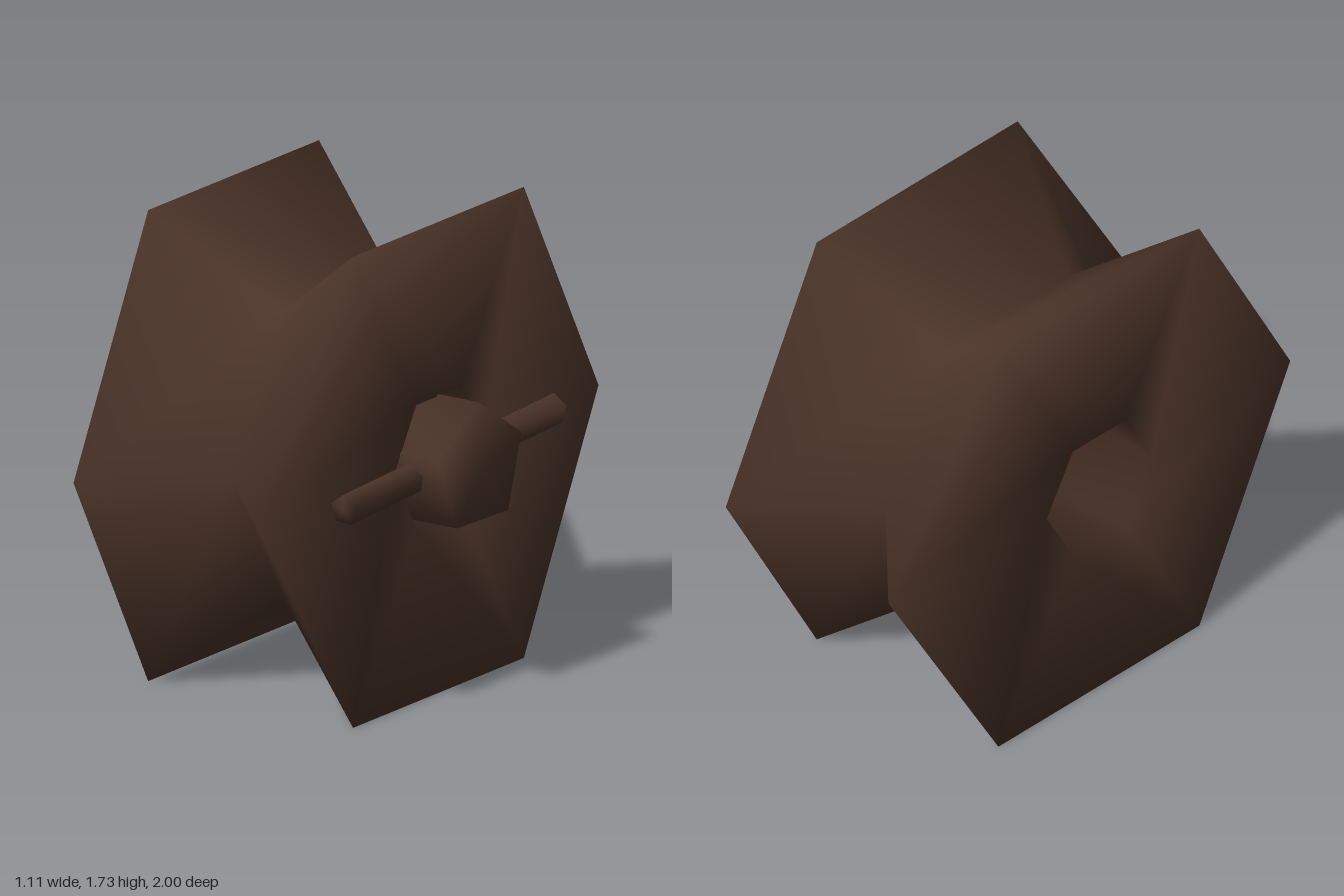
import * as THREE from 'three';
import { mergeVertices } from 'three/addons/utils/BufferGeometryUtils.js';

const CENTER_Y = 0.866;
const SIDES = 6;

// Six-sided grooved wheel with a hole: one closed profile swept round the x axis
function wheelGeometry() {
  const positions = [];
  const indices = [];
  const rings = 5;
  for (let i = 0; i < SIDES; i++) {
    const a = (i * Math.PI * 2) / SIDES;
    // the rim corners at front and back sit slightly inward
    const inset = i % 3 === 0 ? 0.047 : 0;
    const profile = [
      [-0.55, 0.26],
      [-0.55 + inset, 1],
      [-0.103, 0.612],
      [0.345 - inset, 1],
      [0.345, 0.26],
    ];
    for (const [x, r] of profile) {
      positions.push(x, CENTER_Y + r * Math.sin(a), r * Math.cos(a));
    }
  }
  for (let i = 0; i < SIDES; i++) {
    const next = (i + 1) % SIDES;
    for (let j = 0; j < rings; j++) {
      const k = (j + 1) % rings;
      const a = i * rings + j, b = i * rings + k;
      const c = next * rings + k, d = next * rings + j;
      indices.push(a, b, c, a, c, d);
    }
  }
  const geometry = new THREE.BufferGeometry();
  geometry.setAttribute('position', new THREE.Float32BufferAttribute(positions, 3));
  geometry.setIndex(indices);
  geometry.computeVertexNormals();
  return geometry;
}

// Five-sided bar along y with normals smoothed over its ends
function barGeometry(radius, length, thetaStart) {
  const bar = new THREE.CylinderGeometry(radius, radius, length, 5, 1, false, thetaStart);
  bar.deleteAttribute('uv');
  bar.deleteAttribute('normal');
  const smooth = mergeVertices(bar, 1e-4);
  smooth.computeVertexNormals();
  return smooth;
}

export function createModel() {
  const model = new THREE.Group();
  model.name = 'pulley';

  const darkWood = new THREE.MeshStandardMaterial({ color: 0x4a3328 });
  darkWood.name = 'darkWood';

  const add = (name, geometry, x, y, z) => {
    const mesh = new THREE.Mesh(geometry, darkWood);
    mesh.name = name;
    mesh.position.set(x, y, z);
    model.add(mesh);
  };

  add('wheel', wheelGeometry(), 0, 0, 0);

  // Axle, slightly tilted, sticking out of the left face
  const axle = barGeometry(0.236, 0.44, -Math.PI / 2);
  axle.rotateZ(-Math.PI / 2).rotateZ(0.045).rotateY(-0.06);
  add('axle', axle, 0.32, 0.862, 0);

  // Pin crossing the axle
  const pin = barGeometry(0.057, 1.235, Math.PI);
  pin.rotateX(Math.PI / 2).rotateX(0.048);
  add('crossPin', pin, 0.376, 0.86, -0.02);

  return model;
}
